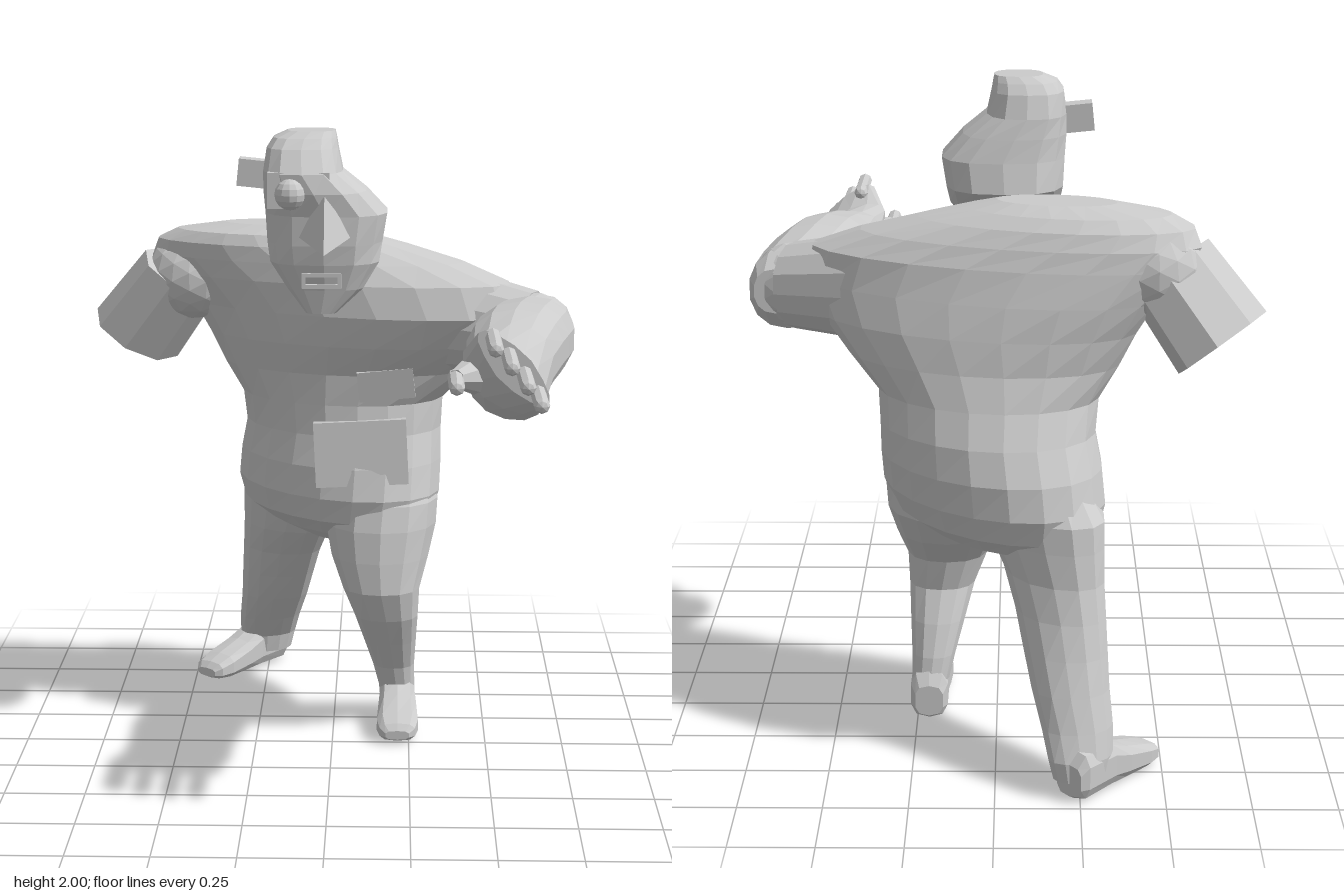
import * as THREE from 'three';

const material = new THREE.MeshStandardMaterial({ color: 0xcccccc, flatShading: true });

function mesh(name, geometry, parent, x = 0, y = 0, z = 0) {
  const m = new THREE.Mesh(geometry, material);
  m.name = name;
  m.position.set(x, y, z);
  parent.add(m);
  return m;
}

// Closed loft through oval sections along y or z.
// Row: [position, xMin, xMax, otherMin, otherMax, skew]; power < 1 squares the ovals.
function loft(rows, axis, sides = 14, power = 1) {
  const pos = [], index = [];
  const put = (x, other, at) => (axis === 'y' ? pos.push(x, at, other) : pos.push(x, other, at));
  const shape = (v) => Math.sign(v) * Math.abs(v) ** power;
  const sign = axis === 'y' ? -1 : 1;
  for (const [at, x0, x1, o0, o1, skew = 0] of rows) {
    for (let j = 0; j < sides; j++) {
      const t = ((j + 0.5) / sides) * Math.PI * 2;
      put((x0 + x1) / 2 + ((x1 - x0) / 2) * shape(Math.cos(t)),
        (o0 + o1) / 2 + sign * ((o1 - o0) / 2) * shape(Math.sin(t - skew)), at);
    }
  }
  for (let i = 0; i < rows.length - 1; i++) {
    for (let j = 0; j < sides; j++) {
      const a = i * sides + j, b = i * sides + ((j + 1) % sides);
      index.push(a, b, b + sides, a, b + sides, a + sides);
    }
  }
  const last = (rows.length - 1) * sides, centre = rows.length * sides;
  for (const r of [rows[0], rows[rows.length - 1]]) put((r[1] + r[2]) / 2, (r[3] + r[4]) / 2, r[0]);
  for (let j = 0; j < sides; j++) {
    const k = (j + 1) % sides;
    index.push(centre, k, j, centre + 1, last + j, last + k);
  }
  const g = new THREE.BufferGeometry();
  g.setAttribute('position', new THREE.Float32BufferAttribute(pos, 3));
  g.setIndex(index);
  g.computeVertexNormals();
  return g;
}

// Tapered limb between two points
function limb(name, parent, from, to, r0, r1, sides) {
  const a = new THREE.Vector3(...from), b = new THREE.Vector3(...to);
  const m = mesh(name, new THREE.CylinderGeometry(r1, r0, a.distanceTo(b), sides), parent);
  m.position.copy(a).add(b).multiplyScalar(0.5);
  m.quaternion.setFromUnitVectors(new THREE.Vector3(0, 1, 0), b.sub(a).normalize());
  return m;
}

function foot(name, parent, x, z, yaw) {
  const rows = [
    [-0.175, -0.045, 0.045, 0.02, 0.12],
    [-0.15, -0.06, 0.06, 0.005, 0.16],
    [-0.02, -0.06, 0.06, 0.005, 0.15],
    [0.05, -0.065, 0.065, 0.005, 0.12],
    [0.15, -0.07, 0.07, 0.005, 0.09],
    [0.2, -0.06, 0.06, 0.01, 0.07],
    [0.22, -0.04, 0.04, 0.02, 0.05],
  ];
  mesh(name, loft(rows, 'z', 10, 0.7), parent, x, 0, z).rotation.y = yaw;
}

export function createModel() {
  const model = new THREE.Group();
  model.name = 'figure';

  // Twisted torso, left side swung forward
  mesh('torso', loft([
    [0.6, -0.08, 0.06, -0.48, -0.34, 0.5],
    [0.66, -0.23, 0.23, -0.67, -0.15, 0.5],
    [0.72, -0.31, 0.32, -0.75, -0.06, 0.42],
    [0.8, -0.33, 0.35, -0.775, -0.045, 0.35],
    [0.9, -0.32, 0.355, -0.765, -0.07, 0.27],
    [1.0, -0.3, 0.355, -0.725, -0.11, 0.2],
    [1.1, -0.31, 0.36, -0.675, -0.125, 0.18],
    [1.2, -0.37, 0.45, -0.64, -0.115, 0.28],
    [1.3, -0.42, 0.54, -0.63, -0.05, 0.42],
    [1.4, -0.48, 0.59, -0.62, -0.01, 0.55],
    [1.5, -0.57, 0.57, -0.6, -0.04, 0.57],
    [1.56, -0.61, 0.42, -0.585, -0.1, 0.52],
    [1.61, -0.59, 0.24, -0.56, -0.15, 0.42],
    [1.645, -0.52, 0.1, -0.52, -0.19, 0.35],
    [1.67, -0.36, 0, -0.44, -0.26, 0.3],
  ], 'y', 20), model);

  // Legs: left bent in front, right stretched behind
  mesh('leftLeg', loft([
    [0.06, 0.155, 0.27, -0.37, -0.21],
    [0.12, 0.15, 0.27, -0.36, -0.2],
    [0.2, 0.13, 0.27, -0.345, -0.175],
    [0.3, 0.1, 0.275, -0.31, -0.11],
    [0.4, 0.07, 0.28, -0.265, -0.045],
    [0.5, 0.03, 0.285, -0.285, -0.005],
    [0.6, -0.01, 0.315, -0.4, -0.015],
    [0.7, -0.03, 0.34, -0.48, -0.03],
    [0.78, -0.02, 0.345, -0.48, -0.055],
    [0.92, 0.04, 0.3, -0.4, -0.17],
  ], 'y', 14, 0.9), model);
  mesh('rightLeg', loft([
    [0.06, -0.34, -0.17, -0.95, -0.8, -0.3],
    [0.12, -0.35, -0.155, -0.95, -0.79, -0.3],
    [0.2, -0.35, -0.135, -0.925, -0.73, -0.15],
    [0.3, -0.34, -0.105, -0.895, -0.65, 0],
    [0.4, -0.335, -0.08, -0.86, -0.58, 0.15],
    [0.5, -0.33, -0.055, -0.825, -0.51, 0.3],
    [0.6, -0.325, -0.02, -0.795, -0.42, 0.4],
    [0.7, -0.325, 0.03, -0.78, -0.36, 0.45],
    [0.78, -0.325, 0.06, -0.77, -0.34, 0.45],
    [0.92, -0.24, 0, -0.66, -0.4, 0.3],
  ], 'y', 14, 0.9), model);
  foot('leftFoot', model, 0.213, -0.2, 0);
  foot('rightFoot', model, -0.325, -0.81, -0.66);

  // Left arm reaching forward
  const arm = new THREE.Group();
  arm.name = 'leftArm';
  model.add(arm);
  limb('upperArm', arm, [0.33, 1.38, -0.24], [0.63, 1.35, -0.1], 0.175, 0.135, 14);
  mesh('elbow', new THREE.IcosahedronGeometry(0.132, 2), arm, 0.635, 1.35, -0.09);
  mesh('forearm', loft([
    [-0.19, 0.62, 0.75, 1.28, 1.42],
    [-0.14, 0.53, 0.77, 1.22, 1.47],
    [0, 0.46, 0.765, 1.215, 1.48],
    [0.15, 0.43, 0.74, 1.22, 1.49],
    [0.3, 0.41, 0.71, 1.225, 1.49],
    [0.45, 0.405, 0.67, 1.21, 1.47],
    [0.58, 0.4, 0.64, 1.205, 1.44, 0.3],
    [0.66, 0.39, 0.63, 1.24, 1.45, 0.6],
    [0.74, 0.43, 0.64, 1.28, 1.5, 0.95],
  ], 'z', 14, 0.9), arm);
  const fingers = [[0.475, 1.478, 0.95], [0.52, 1.43, 0.97], [0.565, 1.375, 0.97], [0.605, 1.32, 0.95], [0.37, 1.36, 0.9]];
  fingers.forEach(([x, y, tip], i) => {
    const length = i < 4 ? 0.27 : 0.22;
    const f = mesh(i < 4 ? 'finger' + (i + 1) : 'thumb', new THREE.CapsuleGeometry(0.023, length - 0.046, 2, 8), arm, x, y, tip - length / 2);
    f.rotation.x = Math.PI / 2;
  });
  limb('thumbBase', arm, [0.45, 1.35, 0.6], [0.37, 1.36, 0.74], 0.07, 0.026, 8);

  // Right arm ends in a short, broad sleeve
  const shoulder = mesh('rightShoulder', new THREE.IcosahedronGeometry(0.16, 2), model, -0.475, 1.48, -0.44);
  shoulder.scale.set(1, 0.9, 1);
  limb('rightSleeve', model, [-0.51, 1.49, -0.44], [-0.67, 1.275, -0.505], 0.125, 0.138, 8).scale.z = 1.3;

  // Slightly raised panels on the belly and chest
  mesh('bellyPanel', new THREE.BoxGeometry(0.3, 0.21, 0.08), model, 0.09, 0.95, -0.12).rotation.set(-0.1, 0, 0.05);
  mesh('chestPanel', new THREE.BoxGeometry(0.18, 0.1, 0.08), model, 0.17, 1.18, -0.145).rotation.set(0.15, 0, 0.1);

  // Head with the upper left of the skull cut away
  const head = new THREE.Group();
  head.name = 'head';
  model.add(head);
  mesh('skull', loft([
    [1.445, -0.08, 0.015, 0.06, 0.135],
    [1.52, -0.14, 0.1, -0.03, 0.15],
    [1.6, -0.195, 0.15, -0.13, 0.17],
    [1.66, -0.205, 0.16, -0.225, 0.18],
    [1.75, -0.21, 0.175, -0.205, 0.18],
    [1.82, -0.215, 0.11, -0.19, 0.195],
    [1.88, -0.215, 0.035, -0.175, 0.19],
    [1.95, -0.205, 0.02, -0.15, 0.13],
    [1.98, -0.185, 0.015, -0.125, 0.09],
    [2.0, -0.14, 0.01, -0.1, 0.05],
  ], 'y', 14, 0.75), head);
  const nose = mesh('nose', new THREE.ConeGeometry(0.14, 0.13, 4), head, -0.02, 1.755, 0.172);
  nose.rotation.x = 0.35;
  nose.scale.x = 0.65;
  mesh('browPlate', new THREE.BoxGeometry(0.19, 0.11, 0.04), head, -0.1, 1.83, 0.155);
  mesh('eye', new THREE.SphereGeometry(0.048, 12, 8), head, -0.125, 1.82, 0.18);
  mesh('ear', new THREE.BoxGeometry(0.12, 0.085, 0.075), head, -0.235, 1.865, -0.02).rotation.z = -0.1;
  // Mouth frame around a thin gap
  for (const y of [1.535, 1.57]) mesh('lip', new THREE.BoxGeometry(0.12, 0.012, 0.03), head, -0.03, y, 0.155);
  for (const x of [-0.085, 0.025]) mesh('mouthCorner', new THREE.BoxGeometry(0.012, 0.045, 0.03), head, x, 1.552, 0.155);

  return model;
}
